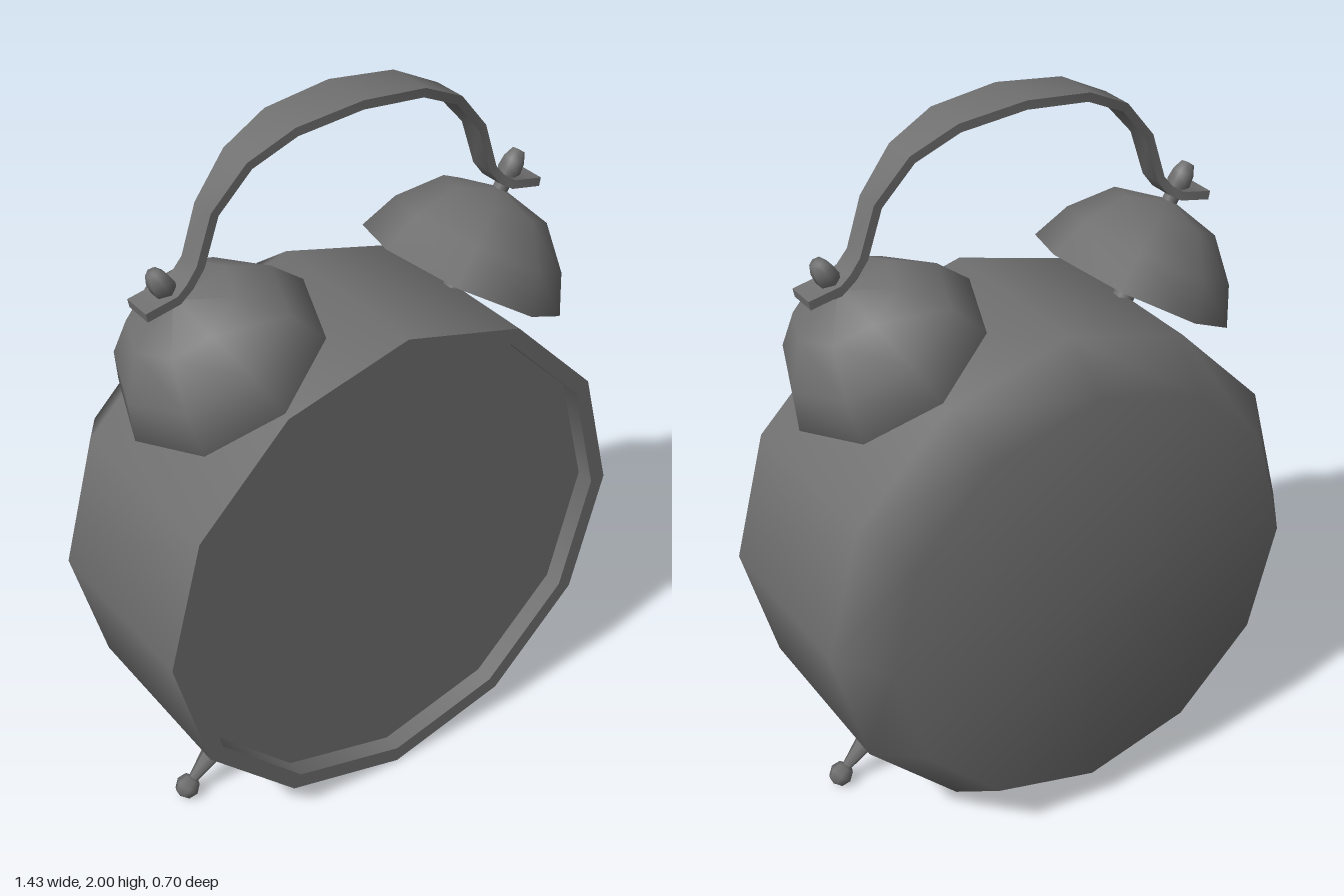
import * as THREE from 'three';
import { toCreasedNormals } from 'three/addons/utils/BufferGeometryUtils.js';

const material = new THREE.MeshStandardMaterial({ color: 0x707070 });

function part(name, geometry, parent) {
  const mesh = new THREE.Mesh(geometry, material);
  mesh.name = name;
  parent.add(mesh);
  return mesh;
}

// Smooth revolved profile of [radius, height] pairs, bottom to top; a repeated pair makes a sharp edge
function turned(profile, sides) {
  const points = profile.map(([r, h]) => new THREE.Vector2(r, h));
  const geometry = new THREE.LatheGeometry(points, sides);
  geometry.normalizeNormals();
  return geometry;
}

// Strap with a rectangular section; stations are [x, y, halfWidth]
function strap(stations, thickness) {
  const positions = [], index = [];
  const n = stations.length;
  stations.forEach(([x, y, w], i) => {
    const a = stations[Math.max(i - 1, 0)], b = stations[Math.min(i + 1, n - 1)];
    const dx = b[0] - a[0], dy = b[1] - a[1], len = Math.hypot(dx, dy);
    const nx = (-dy / len) * thickness / 2, ny = (dx / len) * thickness / 2;
    positions.push(x + nx, y + ny, w, x + nx, y + ny, -w, x - nx, y - ny, -w, x - nx, y - ny, w);
  });
  for (let i = 0; i < n - 1; i++) {
    for (let k = 0; k < 4; k++) {
      const a = i * 4 + k, b = i * 4 + (k + 1) % 4;
      index.push(a, a + 4, b, b, a + 4, b + 4);
    }
  }
  const e = (n - 1) * 4;
  index.push(0, 1, 2, 0, 2, 3, e, e + 2, e + 1, e, e + 3, e + 2);
  const geometry = new THREE.BufferGeometry();
  geometry.setAttribute('position', new THREE.Float32BufferAttribute(positions, 3));
  geometry.setIndex(index);
  return toCreasedNormals(geometry, 1.0);
}

export function createModel() {
  const clock = new THREE.Group();
  clock.name = 'alarmClock';
  const centreY = 0.72, bellZ = 0.063;

  // Twelve-sided case with a bevelled back and a raised front rim
  const body = part('case', turned([
    [0, -0.352], [0.612, -0.352], [0.717, -0.205], [0.717, 0.333], [0.717, 0.333],
    [0.67, 0.333], [0.67, 0.333], [0.67, 0.28],
  ], 12), clock);
  body.rotation.x = Math.PI / 2;
  body.position.y = centreY;

  // Recessed dial
  const dial = part('dial', new THREE.CircleGeometry(0.67, 12), clock);
  dial.position.set(0, centreY, 0.28);

  for (const side of [1, -1]) {
    const label = side > 0 ? 'left' : 'right';

    // Bell assembly leaning outward along a radius of the case
    const bellGroup = new THREE.Group();
    bellGroup.name = label + 'BellAssembly';
    bellGroup.position.set(0, centreY, bellZ);
    bellGroup.rotation.z = -side * Math.PI / 6;
    clock.add(bellGroup);

    part(label + 'Bell', turned([
      [0, 0], [0.25, 0], [0.25, 0], [0.29, 0], [0.243, 0.107], [0.15, 0.21], [0, 0.245],
    ], 8), bellGroup).position.y = 0.76;

    part(label + 'BellPost', new THREE.CylinderGeometry(0.03, 0.03, 0.12, 6), bellGroup)
      .position.y = 0.71;

    part(label + 'BellNut', turned([
      [0.022, 0.98], [0.022, 1.03], [0.033, 1.055], [0.03, 1.085], [0.018, 1.112], [0, 1.114],
    ], 6), bellGroup);

    // Tapered foot ending in a ball
    const foot = new THREE.Group();
    foot.name = label + 'Foot';
    foot.position.set(side * 0.565, 0.036, 0.1);
    foot.rotation.z = side * Math.PI / 4;
    clock.add(foot);
    part(label + 'FootBall', new THREE.SphereGeometry(0.036, 6, 4), foot);
    part(label + 'FootLeg', new THREE.CylinderGeometry(0.054, 0.012, 0.25, 6, 1, false, Math.PI / 6), foot)
      .position.y = 0.14;
  }

  // Carrying handle: half of the path, mirrored across the middle
  const half = [
    [0.6, 1.595, 0.043], [0.51, 1.613, 0.043], [0.475, 1.635, 0.036], [0.443, 1.675, 0.034],
    [0.4, 1.803, 0.036], [0.31, 1.908, 0.05], [0.187, 1.967, 0.066],
  ];
  const path = [
    ...half.map(([x, y, w]) => [-x, y, w]),
    [0, 1.988, 0.073],
    ...half.slice().reverse(),
  ];
  part('handle', strap(path, 0.024), clock).position.z = bellZ;

  return clock;
}
